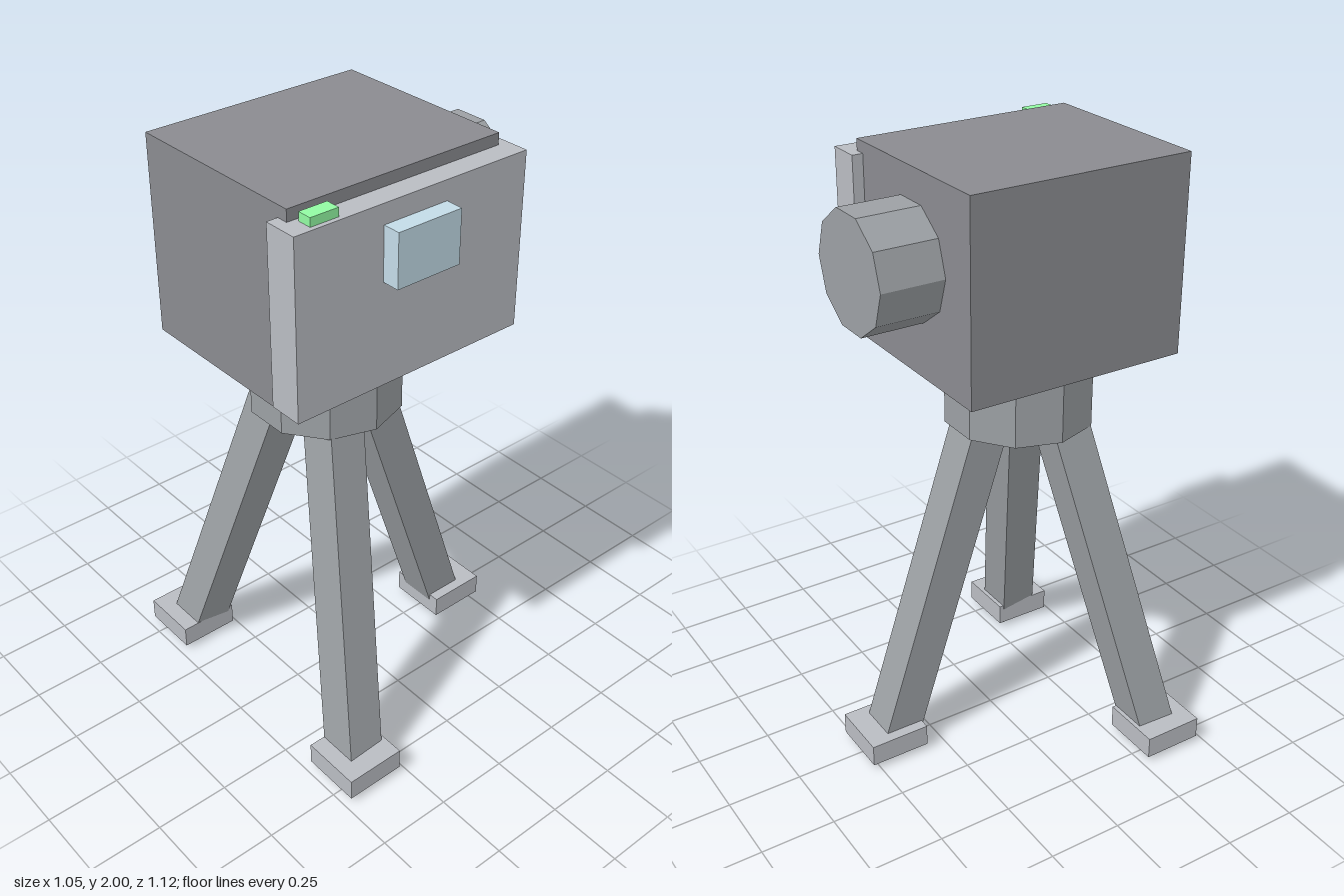
import * as THREE from 'three';

const paint = (color) => new THREE.MeshStandardMaterial({ color, flatShading: true });

export function createModel() {
  const model = new THREE.Group();
  const light = paint(0xb9bcc2);
  const medium = paint(0x9ca0a4);
  const dark = paint(0x8a8b90);
  const blue = paint(0xc3dbe7);
  const green = paint(0x92faa3);

  const add = (name, geometry, material) => {
    const mesh = new THREE.Mesh(geometry, material);
    mesh.name = name;
    model.add(mesh);
    return mesh;
  };
  // Box given by its limits along each axis
  const box = (name, [x0, x1], [y0, y1], [z0, z1], material) =>
    add(name, new THREE.BoxGeometry(x1 - x0, y1 - y0, z1 - z0), material)
      .position.set((x0 + x1) / 2, (y0 + y1) / 2, (z0 + z1) / 2);

  // Camera body, front panel and its details
  box('body', [-0.486, 0.268], [1.36, 2], [-0.32, 0.32], dark);
  box('frontPanel', [-0.523, 0.304], [1.4, 1.963], [0.283, 0.395], light);
  box('screen', [-0.223, 0.003], [1.73, 1.9], [0.37, 0.453], blue);
  box('button', [-0.458, -0.364], [1.94, 1.99], [0.333, 0.38], green);

  // Ten-sided lens on the side
  const lens = add('lens', new THREE.CylinderGeometry(0.188, 0.188, 0.24, 10), medium);
  lens.rotation.z = Math.PI / 2;
  lens.position.set(0.356, 1.72, 0);

  // Ten-sided tripod head
  const hubX = -0.109;
  add('tripodHead', new THREE.CylinderGeometry(0.245, 0.245, 0.22, 10), medium)
    .position.set(hubX, 1.23, 0);

  // Three splayed legs, each with a square foot
  for (let i = 0; i < 3; i++) {
    const angle = (i * Math.PI * 2) / 3;
    const at = (radius, y) =>
      new THREE.Vector3(hubX + radius * Math.cos(angle), y, radius * Math.sin(angle));
    const bottom = at(0.51, 0.03);
    const top = at(0.122, 1.2);
    const axis = top.clone().sub(bottom);
    const leg = add('leg', new THREE.BoxGeometry(0.132, axis.length(), 0.132), medium);
    leg.position.copy(bottom).add(top).multiplyScalar(0.5);
    axis.normalize();
    leg.rotation.set(Math.asin(axis.z), 0, Math.atan2(-axis.x, axis.y), 'ZXY');
    add('foot', new THREE.BoxGeometry(0.205, 0.075, 0.205), light).position.copy(at(0.53, 0.058));
  }
  return model;
}
